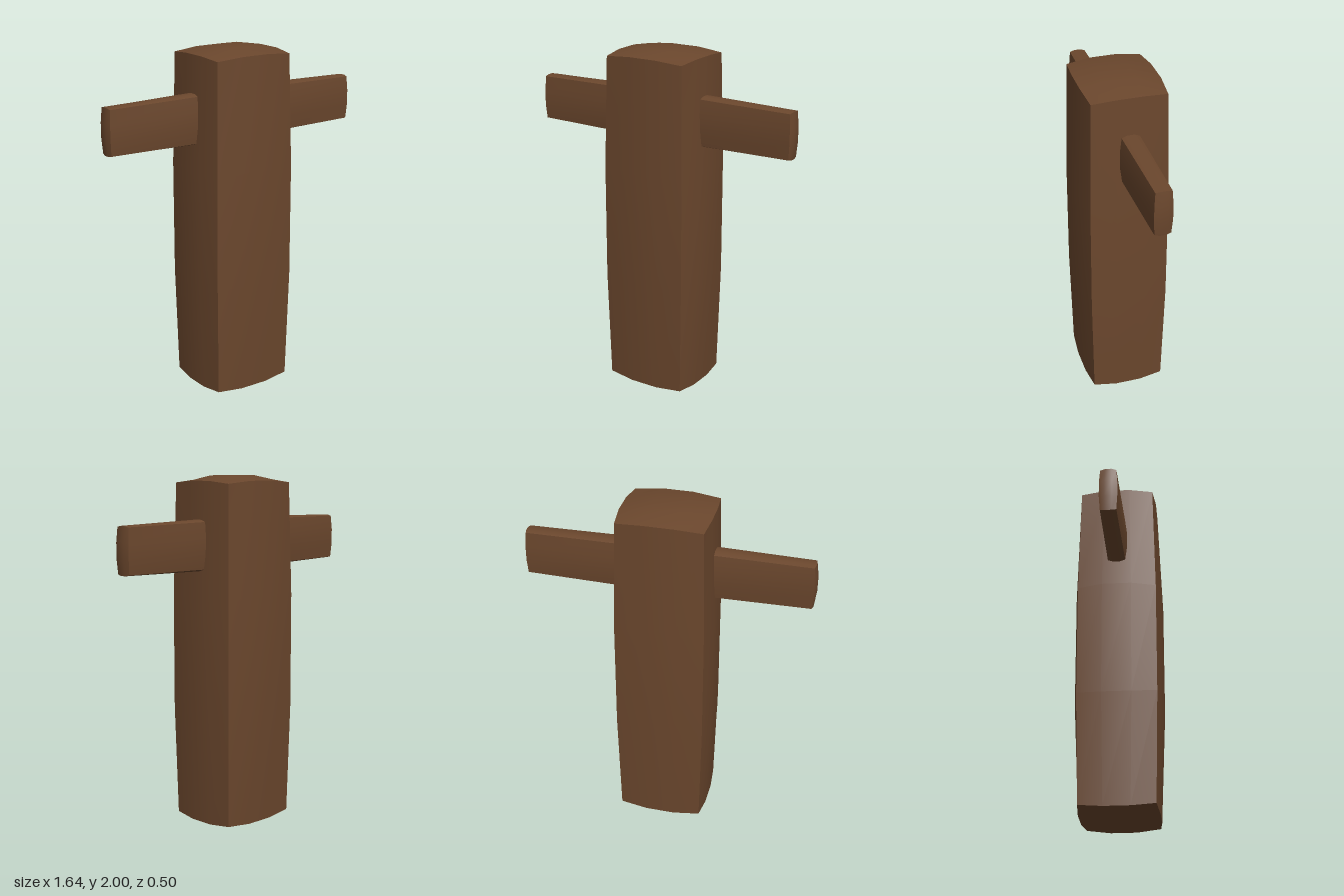
import * as THREE from 'three';

// Box with 3 segments per side, swollen outward so its faces bulge and its edges stay sharp
function bulgedBox(hx, hy, hz, swell) {
  const geometry = new THREE.BoxGeometry(2, 2, 2, 3, 3, 3);
  const pos = geometry.attributes.position;
  const half = new THREE.Vector3(hx, hy, hz);
  const p = new THREE.Vector3();
  const dir = new THREE.Vector3();
  for (let i = 0; i < pos.count; i++) {
    p.fromBufferAttribute(pos, i);
    dir.copy(p).normalize();
    p.multiply(half).addScaledVector(dir, swell);
    pos.setXYZ(i, p.x, p.y, p.z);
  }
  geometry.computeVertexNormals(); // sides share no vertices, so each is smooth on its own
  return geometry;
}

export function createModel() {
  const group = new THREE.Group();
  group.name = 'woodenPost';
  const wood = new THREE.MeshStandardMaterial({ color: 0x6b472d });
  wood.name = 'brown wood';

  // Upright post
  const post = new THREE.Mesh(bulgedBox(0.171, 0.891, 0.14, 0.12), wood);
  post.name = 'post';
  post.position.y = 1;
  group.add(post);

  // Flat crossbar running through the upper post
  const crossbar = new THREE.Mesh(bulgedBox(0.773, 0.096, 0.0155, 0.05), wood);
  crossbar.name = 'crossbar';
  crossbar.position.y = 1.62;
  group.add(crossbar);

  return group;
}
